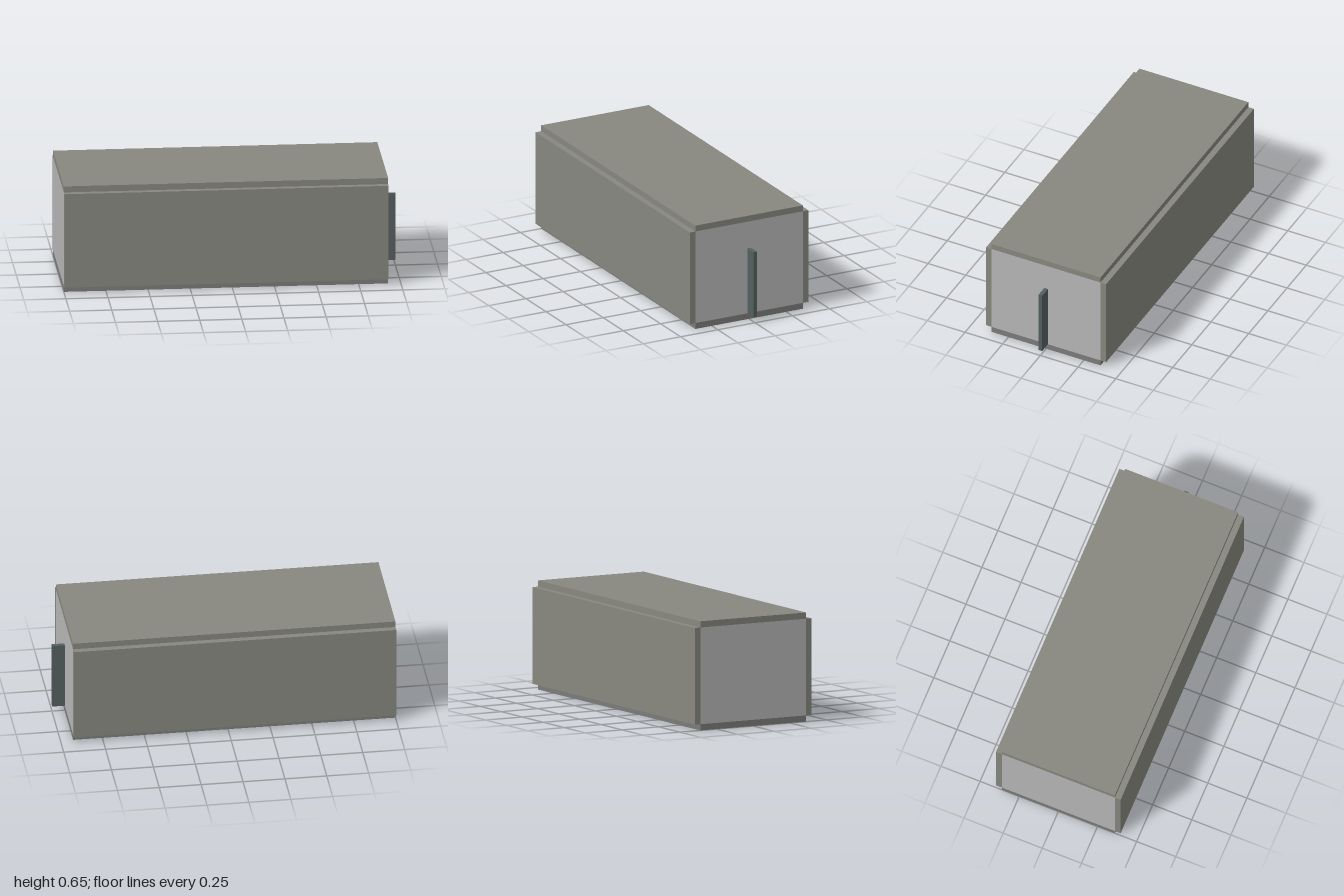
import * as THREE from 'three';

export function createModel() {
  const model = new THREE.Group();
  const paint = (color) => new THREE.MeshStandardMaterial({ color });
  const wallPaint = paint(0x888880);
  const floorPaint = paint(0x7c7c7a);
  const endPaint = paint(0xb8b8b8);
  const finPaint = paint(0x556060);

  // Adds a box given its extents along each axis
  function slab(name, [x0, x1], [y0, y1], [z0, z1], material) {
    const mesh = new THREE.Mesh(new THREE.BoxGeometry(x1 - x0, y1 - y0, z1 - z0), material);
    mesh.position.set((x0 + x1) / 2, (y0 + y1) / 2, (z0 + z1) / 2);
    mesh.name = name;
    model.add(mesh);
  }

  const left = -1, right = 0.925, t = 0.037;
  const height = 0.652, inner = 0.361, outer = 0.398;
  const length = [left, right], wallY = [t, height - t], width = [-inner, inner];

  // Floor and roof between the side walls
  slab('floor', length, [0, t], width, floorPaint);
  slab('roof', length, [height - t, height], width, wallPaint);

  // Long side walls, leaving the corner edges notched
  slab('frontWall', length, wallY, [inner, outer], wallPaint);
  slab('backWall', length, wallY, [-outer, -inner], wallPaint);

  // End walls, flush with the long panels
  slab('leftEndWall', [right - t, right], wallY, width, endPaint);
  slab('rightEndWall', [left, left + t], wallY, width, endPaint);

  // Upright fin on one end
  slab('endFin', [right, 1], [t, 0.447], [-0.012, 0.012], finPaint);

  return model;
}
